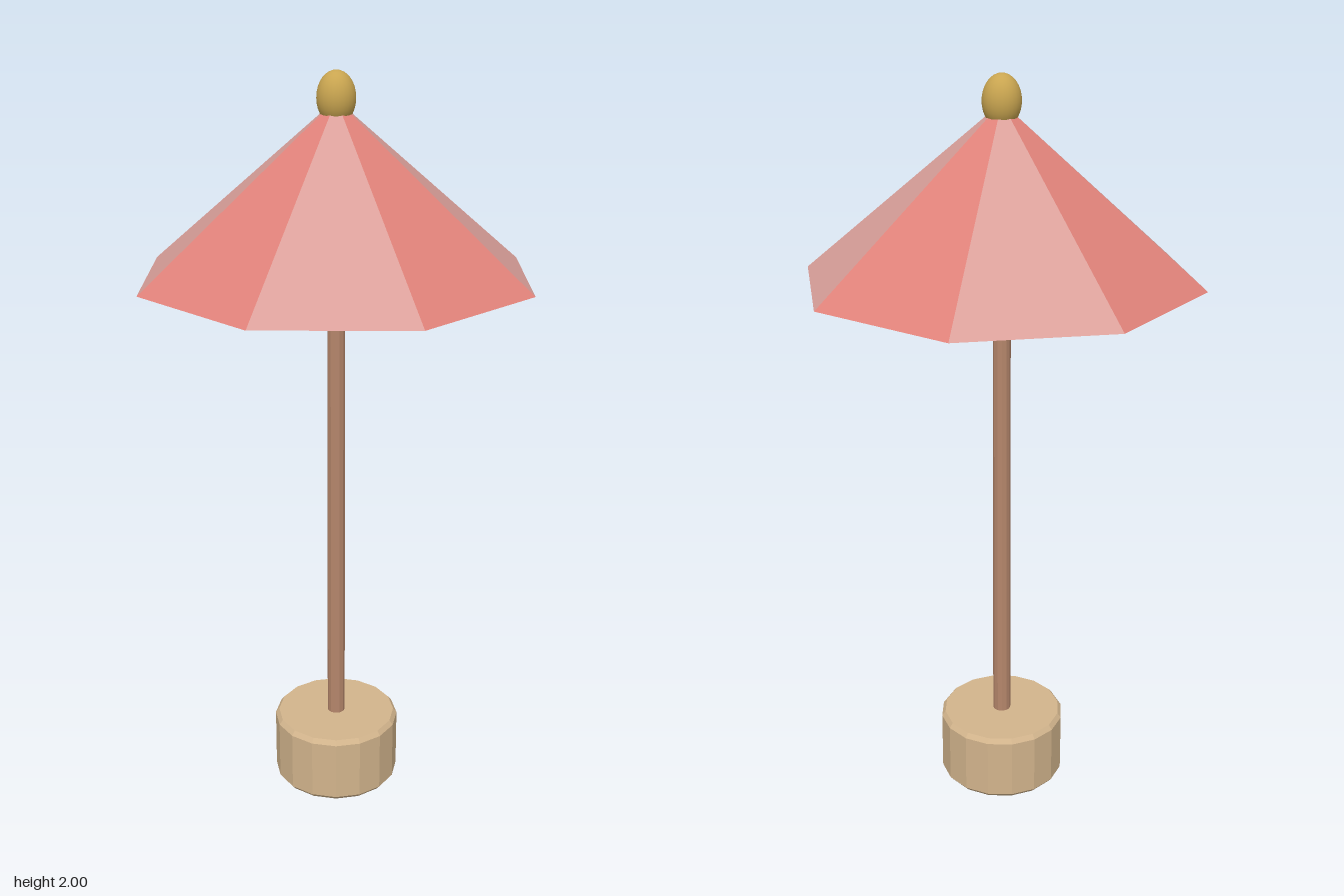
import * as THREE from 'three';

const material = (name, color, extra = {}) => {
  const m = new THREE.MeshStandardMaterial({ color, ...extra });
  m.name = name;
  return m;
};

export function createModel() {
  const model = new THREE.Group();
  model.name = 'parasol';

  const red = material('coral red', 0xe0827a, { flatShading: true, side: THREE.DoubleSide });
  const pink = material('dusty pink', 0xdaa09a, { flatShading: true, side: THREE.DoubleSide });
  const wood = material('brown wood', 0xb5866b, { flatShading: true });
  const stone = material('tan stone', 0xd2b48c, { flatShading: true });
  const gold = material('gold', 0xc9a550);

  const add = (parent, name, geometry, mat, y = 0) => {
    const mesh = new THREE.Mesh(geometry, mat);
    mesh.name = name;
    mesh.position.y = y;
    parent.add(mesh);
    return mesh;
  };

  // Weighted base with narrow bevels, standing just clear of the ground
  const profile = [[0, 0.01], [0.165, 0.01], [0.175, 0.022], [0.175, 0.192], [0.165, 0.205], [0, 0.205]]
    .map(([x, y]) => new THREE.Vector2(x, y));
  add(model, 'base', new THREE.LatheGeometry(profile, 16), stone);

  // Pole runs through the base and ends under the canopy
  const poleTop = 1.59;
  add(model, 'pole', new THREE.CylinderGeometry(0.023, 0.025, poleTop, 12), wood, poleTop / 2);

  // Canopy of eight alternating triangular panels, open below
  const canopy = new THREE.Group();
  canopy.name = 'canopy';
  model.add(canopy);
  const rimY = 1.49, height = 0.44, sides = 8, step = (Math.PI * 2) / sides;
  for (let i = 0; i < sides; i++) {
    const panel = new THREE.ConeGeometry(0.522, height, 1, 1, true, i * step, step);
    add(canopy, `canopyPanel${i + 1}`, panel, i % 2 ? pink : red, rimY + height / 2);
  }

  // Egg-shaped finial
  const finial = new THREE.SphereGeometry(1, 24, 16).scale(0.049, 0.066, 0.049);
  add(model, 'finial', finial, gold, 1.934);

  return model;
}
